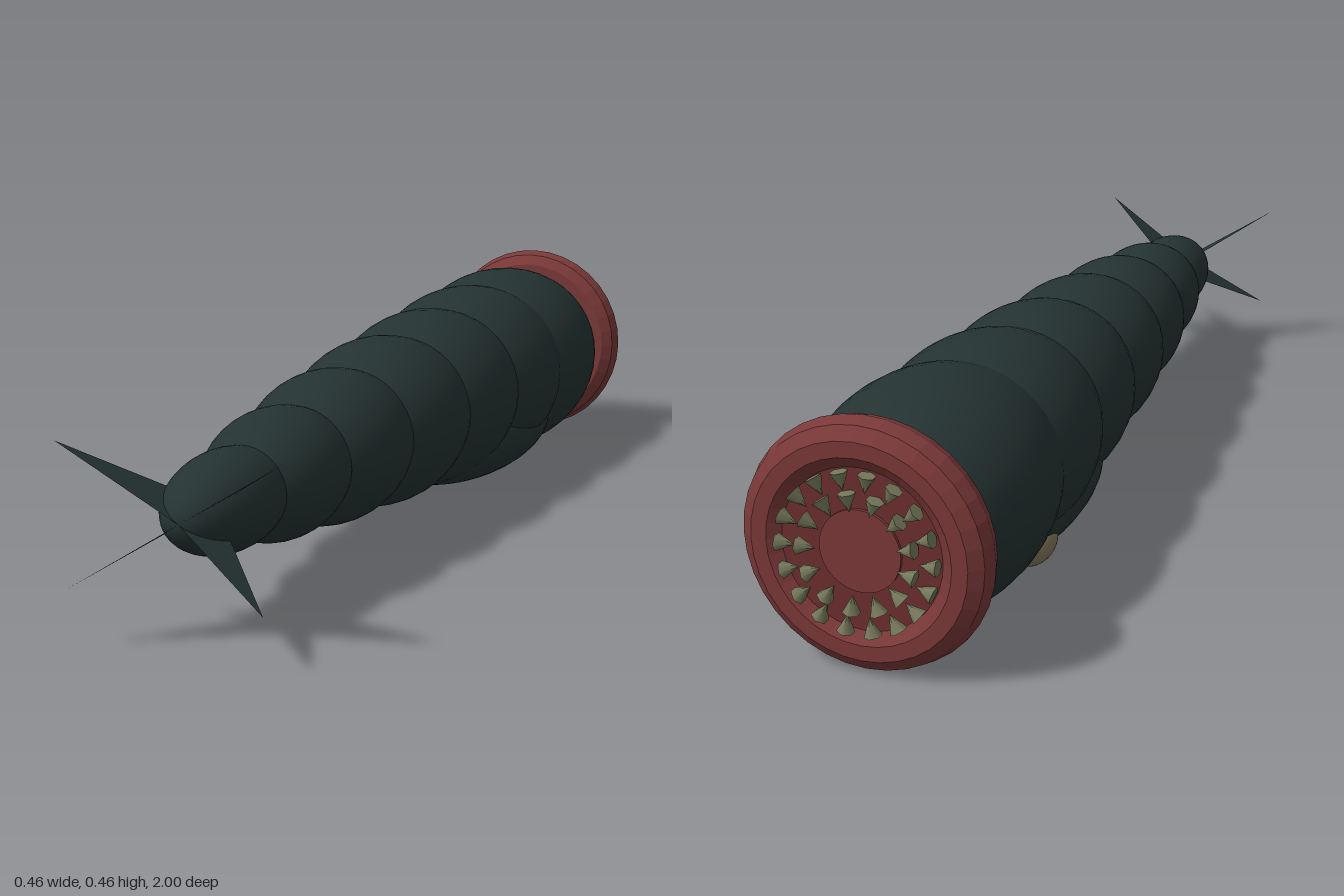
import * as THREE from 'three';

const skin = new THREE.MeshStandardMaterial({ name: 'darkSkin', color: 0x243332 });
const finSkin = new THREE.MeshStandardMaterial({ name: 'finSkin', color: 0x243332, side: THREE.DoubleSide });
const lip = new THREE.MeshStandardMaterial({ name: 'redLip', color: 0x7a3838, flatShading: true });
const gum = new THREE.MeshStandardMaterial({ name: 'darkGum', color: 0x6b2e2e });
const tooth = new THREE.MeshStandardMaterial({ name: 'tooth', color: 0x75785a });
const tan = new THREE.MeshStandardMaterial({ name: 'tanSpot', color: 0x85775a });

const AXIS_Y = 0.2275;

export function createModel() {
  const root = new THREE.Group();
  const add = (name, geometry, material, parent = root) => {
    const mesh = new THREE.Mesh(geometry, material);
    mesh.name = name;
    parent.add(mesh);
    return mesh;
  };
  // Ellipsoid with its pole along -z; cut opens that pole
  const ellipsoid = (x, y, z, rx, ry, rz, cut = 0) =>
    new THREE.SphereGeometry(1, 40, 24, 0, Math.PI * 2, cut, Math.PI - cut)
      .rotateX(-Math.PI / 2).scale(rx, ry, rz).translate(x, y, z);

  // Overlapping body segments, head to tail: centre z, radius, half length
  [
    [-0.68, 0.218, 0.33, 0.76],
    [-0.43, 0.209, 0.31],
    [-0.17, 0.193, 0.285],
    [0.09, 0.175, 0.265],
    [0.34, 0.152, 0.225],
    [0.57, 0.124, 0.19],
    [0.77, 0.091, 0.17],
  ].forEach(([z, r, h, cut], i) =>
    add('bodySegment' + (i + 1), ellipsoid(0, AXIS_Y, z, r * 1.025, r, h, cut), skin));

  // Swollen belly and the small pale spot on one flank
  add('belly', ellipsoid(0, 0.115, -0.39, 0.185, 0.112, 0.38), skin);
  add('flankSpot', ellipsoid(-0.14, 0.075, -0.525, 0.035, 0.038, 0.07), tan);

  // Sucker mouth
  const mouth = new THREE.Group();
  mouth.name = 'mouth';
  mouth.position.set(0, 0.232, 0);
  root.add(mouth);
  add('lipRing', new THREE.TorusGeometry(0.184, 0.046, 10, 36).translate(0, 0, -0.937), lip, mouth);
  add('gumDisc', new THREE.CylinderGeometry(0.165, 0.165, 0.03, 36)
    .rotateX(Math.PI / 2).translate(0, 0, -0.95), gum, mouth);
  add('throatDisc', new THREE.CylinderGeometry(0.075, 0.075, 0.008, 32)
    .rotateX(Math.PI / 2).translate(0, 0, -0.967), lip, mouth);

  // Two rings of teeth pointing inwards
  [[0.13, 18], [0.092, 13]].forEach(([r, count]) => {
    for (let i = 0; i < count; i++) {
      const g = new THREE.ConeGeometry(0.016, 0.034, 6)
        .rotateZ(Math.PI / 2).translate(r, 0, -0.984)
        .rotateZ((i / count) * Math.PI * 2);
      add('tooth', g, tooth, mouth);
    }
  });

  // Four flat tail fins, each lying in a plane through the body axis
  for (const side of [-1, 1]) {
    for (const [name, x, y, z] of [['upperTailFin', 0.213, 0.36, 0.975], ['lowerTailFin', 0.185, 0.11, 1]]) {
      const g = new THREE.BufferGeometry().setFromPoints([
        new THREE.Vector3(0, AXIS_Y, 0.81),
        new THREE.Vector3(0, AXIS_Y, 0.94),
        new THREE.Vector3(side * x, y, z),
      ]);
      g.computeVertexNormals();
      add(name, g, finSkin);
    }
  }
  return root;
}
